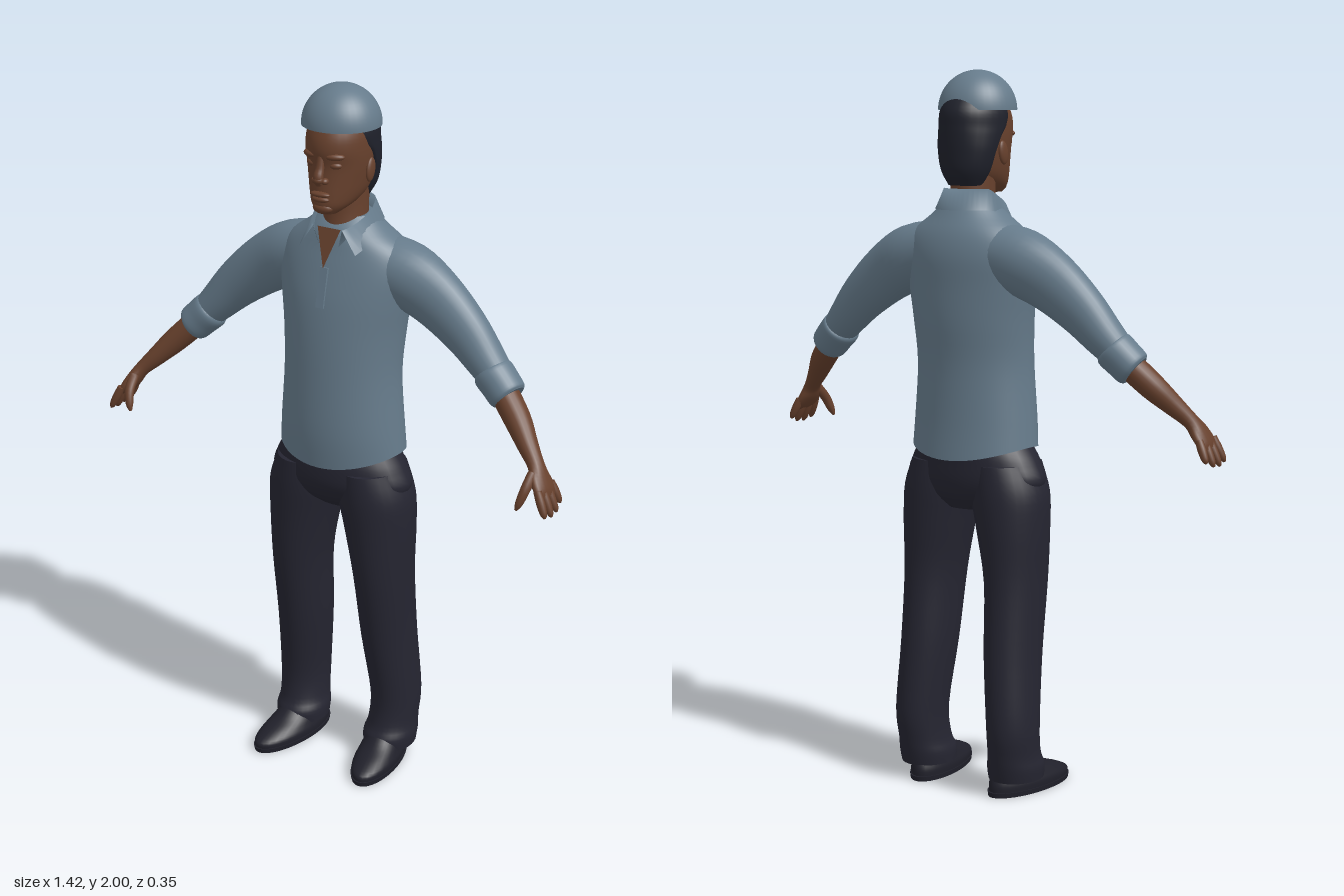
import * as THREE from 'three';

const V = (x, y, z) => new THREE.Vector3(x, y, z);
const TAU = Math.PI * 2;

// Catmull-Rom smoothing of a table of cross-section rows
function smooth(rows, k = 4) {
  const out = [], last = rows.length - 1;
  for (let i = 0; i < last; i++) {
    const [a, b, c, d] = [rows[Math.max(i - 1, 0)], rows[i], rows[i + 1], rows[Math.min(i + 2, last)]];
    for (let s = 0; s < k; s++) {
      const t = s / k;
      out.push(b.map((p, j) => 0.5 * (2 * p + (c[j] - a[j]) * t + (2 * a[j] - 5 * p + 4 * c[j] - d[j]) * t * t
        + (3 * p - a[j] - 3 * c[j] + d[j]) * t * t * t)));
    }
  }
  out.push(rows[last]);
  return out;
}

// Skin a list of rings of points; closed rings get end caps
function skin(rings, closed = true) {
  const n = rings[0].length, pos = [], idx = [];
  rings.forEach(r => r.forEach(p => pos.push(p.x, p.y, p.z)));
  for (let i = 0; i < rings.length - 1; i++) {
    for (let j = 0; j < (closed ? n : n - 1); j++) {
      const a = i * n + j, b = i * n + (j + 1) % n;
      idx.push(a, b, a + n, b, b + n, a + n);
    }
  }
  if (closed) [rings[0], rings[rings.length - 1]].forEach((r, end) => {
    const o = pos.length / 3;
    const m = r.reduce((s, p) => s.add(p), V(0, 0, 0)).divideScalar(n);
    [...r, m].forEach(p => pos.push(p.x, p.y, p.z));
    for (let j = 0; j < n; j++) {
      const a = o + j, b = o + (j + 1) % n;
      if (end) idx.push(a, b, o + n); else idx.push(b, a, o + n);
    }
  });
  const g = new THREE.BufferGeometry();
  g.setAttribute('position', new THREE.Float32BufferAttribute(pos, 3));
  g.setIndex(idx);
  g.computeVertexNormals();
  return g;
}

// Upright body from rows [y, cx, cz, halfWidth, frontDepth, backDepth]
function body(rows, warp, n = 32) {
  return skin(smooth(rows).map(([y, cx, cz, rx, rf, rb]) => Array.from({ length: n }, (_, j) => {
    const t = j / n * TAU, c = Math.cos(t);
    const p = V(cx + rx * Math.sin(t), y, cz + c * (c > 0 ? rf : rb));
    if (warp) warp(p);
    return p;
  })));
}

// Limb from rows [x, y, z, thickness, widthAlongZ]
function limb(rows, s = 1, n = 18) {
  const r = smooth(rows.map(([x, ...q]) => [x * s, ...q]));
  const at = i => V(...r[Math.min(Math.max(i, 0), r.length - 1)].slice(0, 3));
  return skin(r.map((row, i) => {
    const t = at(i + 1).sub(at(i - 1)).normalize();
    const v = V(0, 0, 1).addScaledVector(t, -t.z).normalize();
    const u = v.clone().cross(t);
    return Array.from({ length: n }, (_, j) => at(i)
      .addScaledVector(u, row[3] * Math.cos(j / n * TAU))
      .addScaledVector(v, row[4] * Math.sin(j / n * TAU)));
  }));
}

export function createModel() {
  const model = new THREE.Group();
  const material = (name, color, side = THREE.FrontSide) => {
    const m = new THREE.MeshStandardMaterial({ color, side });
    m.name = name;
    return m;
  };
  const shirt = material('slateBlueCloth', 0x667b8b, THREE.DoubleSide);
  const skinMat = material('brownSkin', 0x68412d, THREE.DoubleSide);
  const dark = material('darkTrouserCloth', 0x252531);
  const hairMat = material('blackHair', 0x1f212b);
  const leather = material('darkLeather', 0x20202a);
  const add = (name, geo, mat) => {
    const m = new THREE.Mesh(geo, mat);
    m.name = name;
    model.add(m);
    return m;
  };
  const blob = (name, mat, x, y, z, a, b, c) => {
    const m = add(name, new THREE.SphereGeometry(1, 20, 14), mat);
    m.position.set(x, y, z);
    m.scale.set(a, b, c);
    return m;
  };

  // Head, neck and hair
  add('head', body([
    [1.668, 0, 0.06, 0.028, 0.028, 0.045], [1.69, 0, 0.03, 0.053, 0.070, 0.09],
    [1.72, 0, 0, 0.070, 0.100, 0.10], [1.76, 0, -0.01, 0.080, 0.107, 0.105],
    [1.80, 0, -0.01, 0.086, 0.106, 0.112], [1.84, 0, -0.01, 0.088, 0.114, 0.117],
    [1.88, 0, -0.01, 0.085, 0.108, 0.115], [1.92, 0, -0.01, 0.068, 0.085, 0.09],
    [1.945, 0, -0.01, 0.03, 0.04, 0.04]]), skinMat);
  add('neck', body([
    [1.50, 0, -0.02, 0.07, 0.06, 0.08], [1.60, 0, -0.025, 0.062, 0.062, 0.075],
    [1.66, 0, -0.03, 0.060, 0.060, 0.070], [1.74, 0, -0.03, 0.062, 0.060, 0.070]]), skinMat);
  add('hair', body([
    [1.69, 0, -0.065, 0.050, 0.02, 0.043], [1.73, 0, -0.06, 0.073, 0.03, 0.068],
    [1.78, 0, -0.05, 0.086, 0.02, 0.084], [1.82, 0, -0.035, 0.091, 0.03, 0.101],
    [1.85, 0, -0.02, 0.0925, 0.06, 0.116], [1.89, 0, -0.015, 0.090, 0.07, 0.118],
    [1.93, 0, -0.015, 0.070, 0.06, 0.09], [1.955, 0, -0.015, 0.03, 0.03, 0.04]]), hairMat);

  // Facial features
  add('noseBridge', limb([
    [0, 1.755, 0.100, 0.012, 0.012], [0, 1.772, 0.107, 0.014, 0.014],
    [0, 1.795, 0.099, 0.012, 0.011], [0, 1.83, 0.092, 0.010, 0.010]]), skinMat);
  blob('noseTip', skinMat, 0, 1.766, 0.107, 0.015, 0.012, 0.015);
  blob('upperLip', skinMat, 0, 1.725, 0.098, 0.030, 0.008, 0.013);
  blob('lowerLip', skinMat, 0, 1.711, 0.095, 0.026, 0.009, 0.014);
  blob('chin', skinMat, 0, 1.685, 0.084, 0.030, 0.017, 0.019);
  for (const s of [1, -1]) {
    blob('nostril', skinMat, s * 0.015, 1.762, 0.098, 0.010, 0.009, 0.012);
    blob('brow', skinMat, s * 0.037, 1.828, 0.084, 0.027, 0.010, 0.014).rotation.y = s * 0.4;
    blob('eyelid', skinMat, s * 0.036, 1.803, 0.078, 0.018, 0.010, 0.013).rotation.y = s * 0.4;
    blob('ear', skinMat, s * 0.087, 1.778, -0.014, 0.009, 0.033, 0.019).rotation.x = -0.2;
  }

  // Half-dome cap, hollow underneath
  const cap = add('cap', new THREE.SphereGeometry(0.108, 40, 16, 0, TAU, 0, Math.PI / 2), shirt);
  cap.position.set(0, 1.892, -0.01);

  // Shirt body, with the hem raised at the sides
  add('shirtBody', body([
    [0.945, 0, -0.02, 0.187, 0.140, 0.145], [1.05, 0, -0.02, 0.181, 0.147, 0.138],
    [1.20, 0, -0.02, 0.171, 0.141, 0.136], [1.32, 0, -0.03, 0.178, 0.142, 0.136],
    [1.42, 0, -0.035, 0.192, 0.133, 0.134], [1.50, 0, -0.04, 0.200, 0.118, 0.130],
    [1.56, 0, -0.045, 0.180, 0.105, 0.112], [1.61, 0, -0.045, 0.115, 0.090, 0.086],
    [1.645, 0, -0.045, 0.076, 0.060, 0.065]], p => {
    p.y += 0.035 * (p.x / 0.187) ** 2 * Math.max(0, 1 - (p.y - 0.945) / 0.12);
  }, 48), shirt);

  // Open neck, folded collar and front placket
  add('openNeck', skin([[V(0, 1.515, 0.086), V(0, 1.515, 0.086)],
    [V(-0.036, 1.62, 0.054), V(0.036, 1.62, 0.054)]], false), skinMat);
  const collarRing = (gap, rx, rf, rb, yBack, yFront) => Array.from({ length: 33 }, (_, j) => {
    const t = gap + (TAU - 2 * gap) * j / 32, c = Math.cos(t);
    const f = Math.max(0, (c + 0.4) / (Math.cos(gap) + 0.4));
    return V(rx * Math.sin(t), yBack + (yFront - yBack) * f, -0.03 + c * (c > 0 ? rf : rb));
  });
  add('collar', skin([
    collarRing(1.0, 0.104, 0.175, 0.107, 1.625, 1.56),
    collarRing(0.6, 0.080, 0.112, 0.082, 1.682, 1.622),
    collarRing(0.45, 0.068, 0.095, 0.078, 1.62, 1.57)], false), shirt);
  const placket = add('placket', new THREE.BoxGeometry(0.024, 0.11, 0.008), shirt);
  placket.position.set(0, 1.462, 0.09);
  placket.rotation.x = -0.22;

  // Trouser seat
  add('trouserSeat', body([
    [0.80, 0, -0.02, 0.09, 0.06, 0.075], [0.835, 0, -0.018, 0.175, 0.10, 0.105],
    [0.88, 0, -0.015, 0.216, 0.120, 0.120], [0.93, 0, -0.015, 0.200, 0.124, 0.122],
    [0.97, 0, -0.015, 0.176, 0.120, 0.122], [1.0, 0, -0.015, 0.155, 0.110, 0.115]]), dark);

  for (const s of [1, -1]) {
    const side = s > 0 ? 'left' : 'right';
    const leg = rows => rows.map(([y, x, ...q]) => [y, x * s, ...q]);

    // Trouser leg with a slightly gathered hem
    add(side + 'TrouserLeg', body(leg([
      [0.045, 0.150, -0.038, 0.074, 0.086, 0.086], [0.08, 0.151, -0.042, 0.076, 0.092, 0.090],
      [0.12, 0.153, -0.053, 0.069, 0.084, 0.086], [0.21, 0.155, -0.062, 0.069, 0.087, 0.089],
      [0.40, 0.142, -0.042, 0.074, 0.097, 0.099], [0.60, 0.136, -0.020, 0.081, 0.105, 0.106],
      [0.75, 0.124, -0.018, 0.098, 0.115, 0.113], [0.85, 0.112, -0.015, 0.107, 0.118, 0.117],
      [0.93, 0.100, -0.015, 0.090, 0.115, 0.110]])), dark);

    // Shoe and sole, toes turned a little outward
    const turn = p => { p.x += s * 0.13 * p.z; };
    add(side + 'Shoe', body(leg([
      [0.012, 0.148, 0.02, 0.062, 0.155, 0.145], [0.03, 0.148, 0.02, 0.063, 0.152, 0.145],
      [0.048, 0.148, 0.01, 0.058, 0.125, 0.13], [0.07, 0.148, -0.01, 0.052, 0.085, 0.10],
      [0.10, 0.148, -0.03, 0.045, 0.06, 0.075]]), turn), leather);
    add(side + 'Sole', body(leg([
      [0, 0.148, 0.02, 0.063, 0.156, 0.148], [0.014, 0.148, 0.02, 0.065, 0.159, 0.150]]), turn), leather);

    // Sleeve and rolled cuff
    add(side + 'Sleeve', limb([
      [0.08, 1.515, -0.055, 0.080, 0.085], [0.18, 1.487, -0.058, 0.092, 0.084],
      [0.27, 1.440, -0.055, 0.084, 0.068], [0.36, 1.370, -0.050, 0.070, 0.059],
      [0.43, 1.300, -0.043, 0.056, 0.054], [0.49, 1.240, -0.032, 0.043, 0.046]], s, 28), shirt);
    add(side + 'Cuff', limb([
      [0.448, 1.278, -0.040, 0.046, 0.048], [0.456, 1.270, -0.038, 0.055, 0.057],
      [0.482, 1.246, -0.033, 0.054, 0.056], [0.506, 1.223, -0.027, 0.052, 0.054],
      [0.514, 1.216, -0.025, 0.044, 0.046]], s, 28), shirt);

    // Forearm and hand
    add(side + 'Forearm', limb([
      [0.48, 1.245, -0.032, 0.038, 0.040], [0.55, 1.175, 0.000, 0.036, 0.038],
      [0.60, 1.122, 0.032, 0.028, 0.030], [0.638, 1.082, 0.055, 0.021, 0.026],
      [0.658, 1.052, 0.067, 0.020, 0.040], [0.676, 1.025, 0.073, 0.016, 0.045],
      [0.686, 1.010, 0.076, 0.009, 0.036]], s), skinMat);
    for (let i = 0; i < 4; i++) {
      const z = 0.037 + 0.025 * i, len = [0.8, 0.97, 1, 0.9][i], fan = (i - 1.2) * 0.007;
      const at = (k, r) => [0.674 + 0.034 * k * len, 1.035 - 0.073 * k * len, z + fan * k, r, r];
      add(side + 'Finger', limb([at(0, 0.011), at(0.45, 0.012), at(0.85, 0.009), at(1, 0.003)], s, 10), skinMat);
    }
    add(side + 'Thumb', limb([
      [0.645, 1.068, 0.085, 0.014, 0.016], [0.641, 1.035, 0.117, 0.014, 0.014],
      [0.632, 1.000, 0.132, 0.011, 0.011], [0.625, 0.980, 0.137, 0.004, 0.004]], s, 10), skinMat);
  }
  return model;
}
